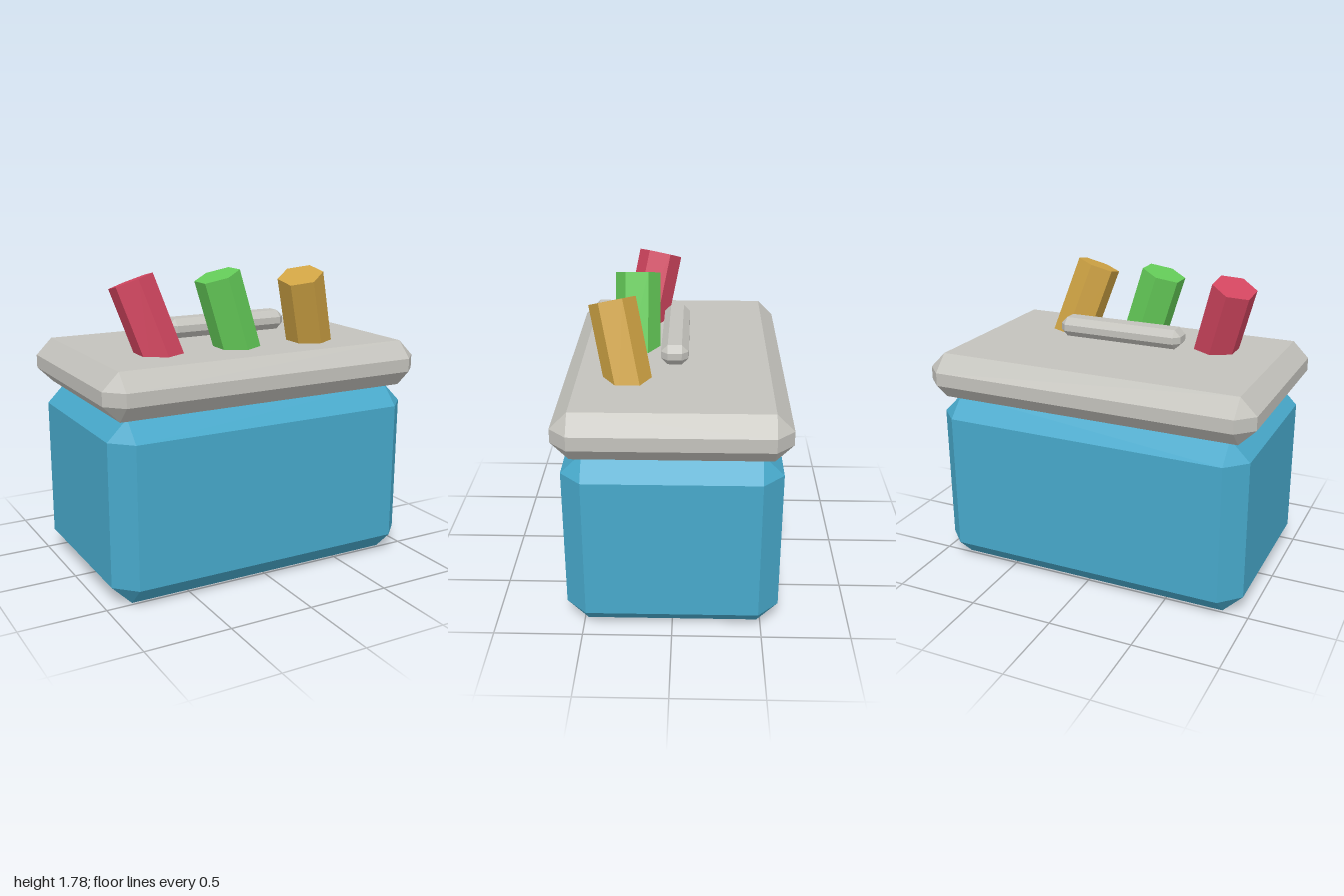
import * as THREE from 'three';
import { ConvexGeometry } from 'three/addons/geometries/ConvexGeometry.js';

const material = (name, color) => {
  const m = new THREE.MeshStandardMaterial({ color });
  m.name = name;
  return m;
};

// Box with every edge cut off by c, so each corner becomes a triangle
function chamferedBox(w, h, d, c) {
  const points = [];
  for (const x of [-w / 2, w / 2]) for (const y of [-h / 2, h / 2]) for (const z of [-d / 2, d / 2]) {
    const ix = x - Math.sign(x) * c, iy = y - Math.sign(y) * c, iz = z - Math.sign(z) * c;
    points.push(
      new THREE.Vector3(x, iy, iz),
      new THREE.Vector3(ix, y, iz),
      new THREE.Vector3(ix, iy, z));
  }
  return new ConvexGeometry(points);
}

export function createModel() {
  const group = new THREE.Group();
  const blue = material('blue', 0x47a8ca);
  const grey = material('warm grey', 0xc3c2bc);
  const add = (name, geometry, mat, x, y, z) => {
    const mesh = new THREE.Mesh(geometry, mat);
    mesh.name = name;
    mesh.position.set(x, y, z);
    group.add(mesh);
    return mesh;
  };

  // Container, lid and the carrying handle above it
  add('body', chamferedBox(1.92, 1.06, 1.196, 0.117), blue, 0, 0.53, 0);
  add('lid', chamferedBox(2, 0.27, 1.266, 0.096), grey, 0, 1.195, 0);
  add('handle', chamferedBox(0.768, 0.115, 0.155, 0.038), grey, 0, 1.428, -0.002);

  // Leaning hexagonal sticks, placed by the centre of their top ends
  const length = 0.55;
  const stick = new THREE.CylinderGeometry(0.133, 0.133, length, 6).toNonIndexed();
  stick.translate(0, -length / 2, 0);
  stick.computeVertexNormals();
  const sticks = [
    ['redStick', material('red', 0xd1455f), -0.648, 1.731, 0.112, -0.2],
    ['greenStick', material('green', 0x64cb58), -0.17, 1.746, 0.228, 0],
    ['goldStick', material('gold', 0xcfa344), 0.313, 1.731, 0.343, 0.2],
  ];
  for (const [name, mat, x, y, z, tilt] of sticks) {
    add(name, stick, mat, x, y, z).rotation.set(tilt, 0, 0.3, 'ZYX');
  }
  return group;
}
